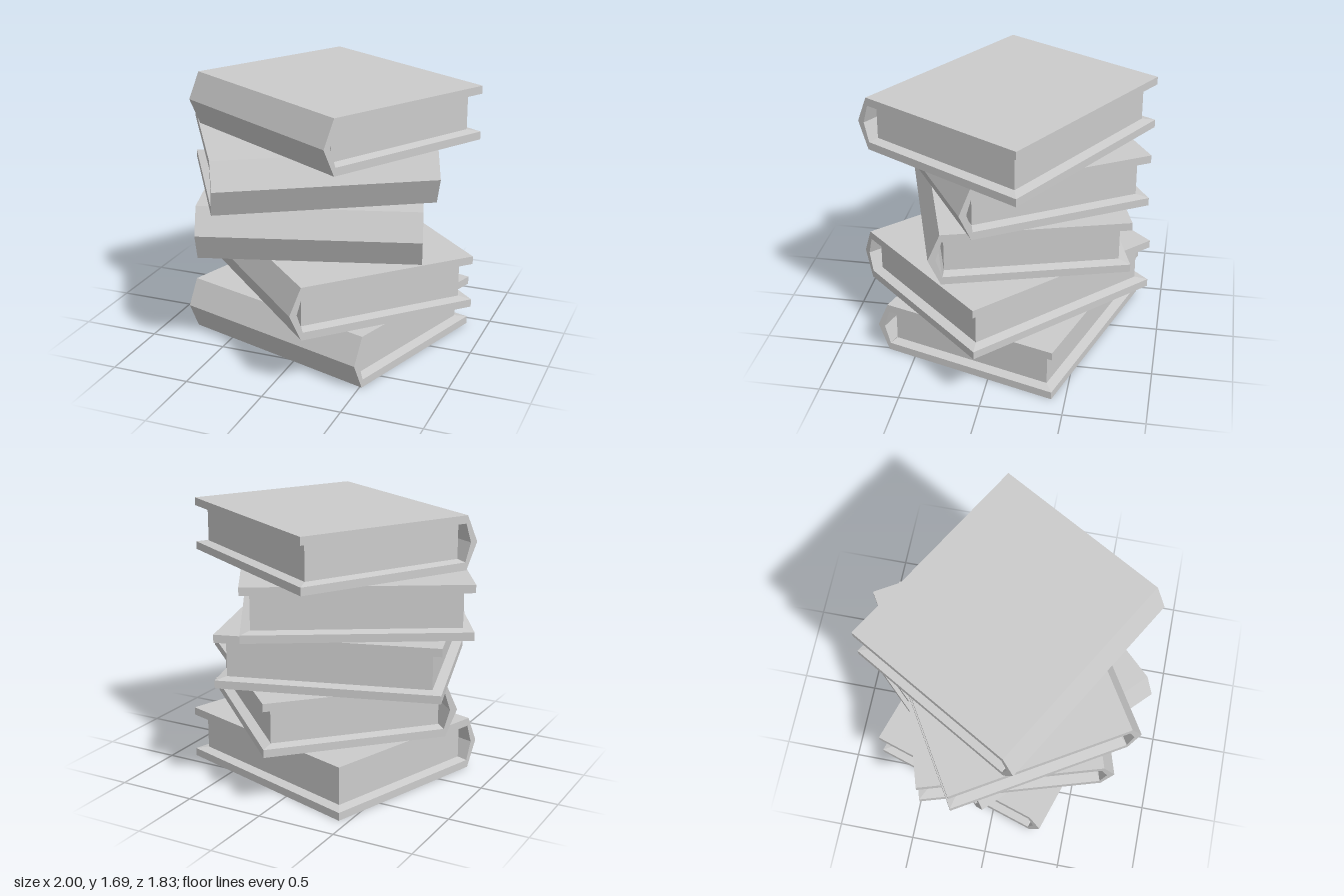
import * as THREE from 'three';

const LENGTH = 1.37;   // along the spine
const HALF_D = 0.575;  // half the board depth
const H = 0.338;       // thickness of one book
const BOARD = 0.05;
const INSET = 0.06;    // page recess behind the board edges
const LIP = 0.012;     // sloped rise from the board edge to the pages

const material = new THREE.MeshStandardMaterial({ color: 0xcccccc, flatShading: true });

// Boards and ridged spine: one C-shaped section swept along the spine
function coverGeometry() {
  const section = new THREE.Shape([
    [-HALF_D, 0], [HALF_D, 0], [0.65, H / 2], [HALF_D, H], [-HALF_D, H],
    [-HALF_D, H - BOARD], [0.565, H - BOARD], [0.603, H / 2], [0.565, BOARD], [-HALF_D, BOARD],
  ].map(([z, y]) => new THREE.Vector2(z, y)));
  const geo = new THREE.ExtrudeGeometry(section, { depth: LENGTH, bevelEnabled: false });
  geo.rotateY(-Math.PI / 2);
  geo.translate(LENGTH / 2, 0, 0);
  return geo;
}

const PAGE_X = LENGTH / 2 - INSET;
const PAGE_BACK = -HALF_D + INSET;
const PAGE_FRONT = 0.55;

// Shallow tapered lining between a board (full size) and the pages
function liningGeometry(top) {
  const geo = new THREE.BoxGeometry(1, 1, 1);
  const p = geo.attributes.position;
  for (let i = 0; i < p.count; i++) {
    const atBoard = (p.getY(i) > 0) === top;
    const rise = BOARD + (atBoard ? 0 : LIP);
    const x = atBoard ? LENGTH / 2 : PAGE_X;
    const back = atBoard ? -HALF_D : PAGE_BACK;
    const front = atBoard ? 0.565 : PAGE_FRONT;
    p.setXYZ(i, Math.sign(p.getX(i)) * x, top ? H - rise : rise, p.getZ(i) > 0 ? front : back);
  }
  geo.computeVertexNormals();
  return geo;
}

function pagesGeometry() {
  const geo = new THREE.BoxGeometry(2 * PAGE_X, H - 2 * (BOARD + LIP), PAGE_FRONT - PAGE_BACK);
  geo.translate(0, H / 2, (PAGE_FRONT + PAGE_BACK) / 2);
  return geo;
}

export function createModel() {
  const stack = new THREE.Group();
  stack.name = 'bookStack';

  const parts = {
    cover: coverGeometry(),
    lowerLining: liningGeometry(false),
    upperLining: liningGeometry(true),
    pages: pagesGeometry(),
  };

  // Centre x, centre z and turn in degrees, from the bottom book up
  const placements = [
    [0.034, -0.075, -17.6],
    [0.105, -0.03, -44],
    [-0.077, -0.075, 17],
    [-0.115, -0.055, 31.3],
    [0.067, -0.055, -30],
  ];

  placements.forEach(([x, z, turn], i) => {
    const book = new THREE.Group();
    book.name = `book${i + 1}`;
    for (const [name, geo] of Object.entries(parts)) {
      const mesh = new THREE.Mesh(geo, material);
      mesh.name = name;
      book.add(mesh);
    }
    book.position.set(x, i * H, z);
    book.rotation.y = THREE.MathUtils.degToRad(turn);
    stack.add(book);
  });
  return stack;
}
